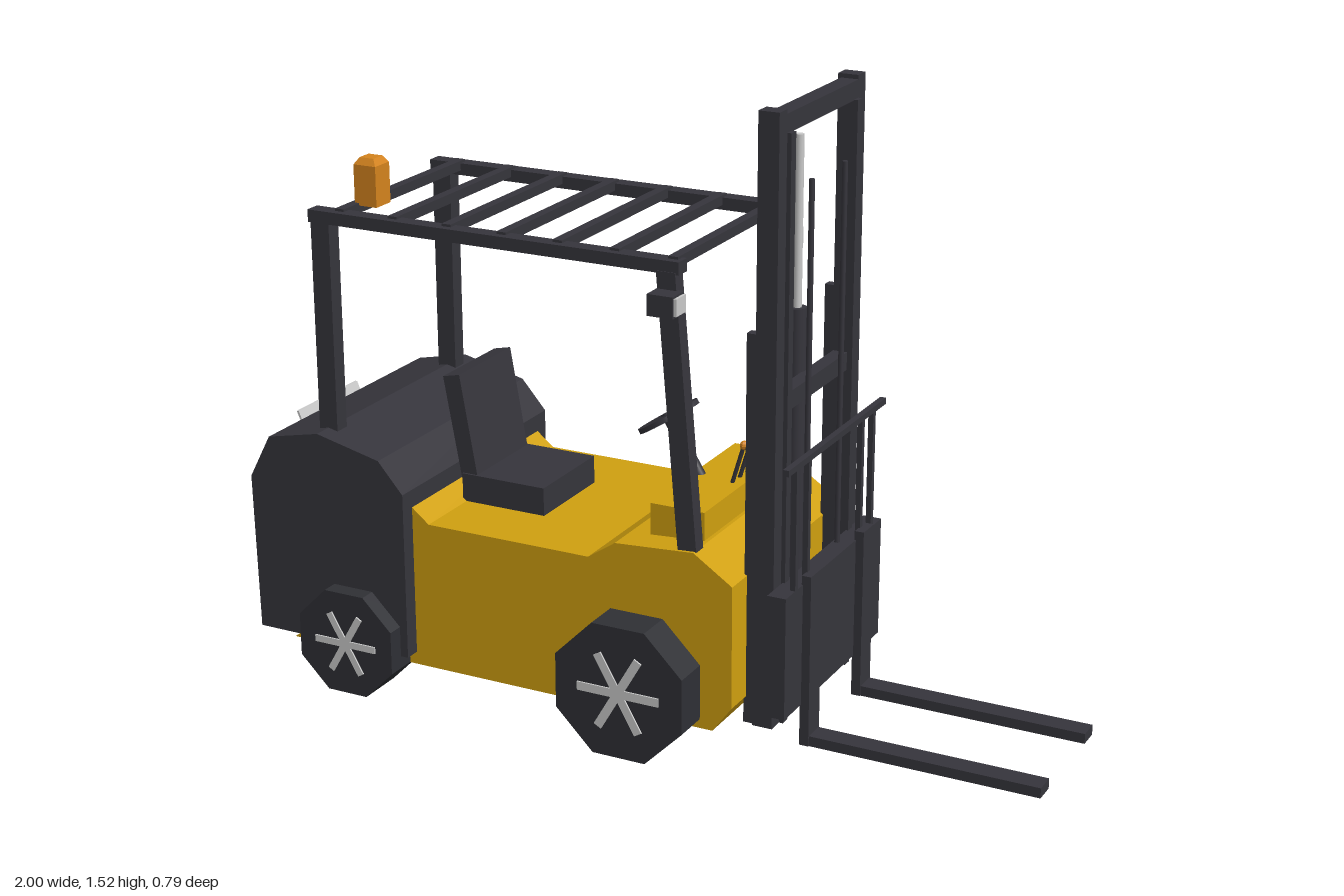
import * as THREE from 'three';

const mat = (name, color, flat = false) => {
  const m = new THREE.MeshStandardMaterial({ color, flatShading: flat });
  m.name = name;
  return m;
};

export function createModel() {
  const yellow = mat('yellow paint', 0xd0a010);
  const dark = mat('dark metal', 0x36353c);
  const rubber = mat('tyre rubber', 0x2f3035, true);
  const black = mat('axle black', 0x242427);
  const silver = mat('silver', 0xcacaca);
  const orange = mat('orange', 0xd5841e, true);
  const model = new THREE.Group();
  model.name = 'forklift';

  const add = (name, geo, material, parent = model) => {
    const m = new THREE.Mesh(geo, material);
    m.name = name;
    parent.add(m);
    return m;
  };
  // box given by its extents
  const box = (name, x0, x1, y0, y1, z0, z1, material = dark, parent = model) => {
    const m = add(name, new THREE.BoxGeometry(x1 - x0, y1 - y0, z1 - z0), material, parent);
    m.position.set((x0 + x1) / 2, (y0 + y1) / 2, (z0 + z1) / 2);
    return m;
  };
  // side profile in x,y extruded symmetrically across z
  const slab = (name, pts, half, material, parent = model) => {
    const shape = new THREE.Shape(pts.map(p => new THREE.Vector2(p[0], p[1])));
    const g = new THREE.ExtrudeGeometry(shape, { depth: half * 2, bevelEnabled: false });
    g.translate(0, 0, -half);
    return add(name, g, material, parent);
  };
  // round rod between two points
  const rod = (name, a, b, r, material = dark, parent = model, sides = 12) => {
    const p = new THREE.Vector3(...a), q = new THREE.Vector3(...b);
    const d = q.clone().sub(p);
    const m = add(name, new THREE.CylinderGeometry(r, r, d.length(), sides), material, parent);
    m.position.copy(p).add(q).multiplyScalar(0.5);
    m.quaternion.setFromUnitVectors(new THREE.Vector3(0, 1, 0), d.normalize());
    return m;
  };

  // chassis and counterweight
  slab('chassis', [[-0.9, 0.08], [0.25, 0.08], [0.298, 0.145], [0.298, 0.445], [0.2, 0.51], [0.0, 0.497],
    [-0.07, 0.45], [-0.5, 0.45], [-0.55, 0.49], [-0.85, 0.49], [-0.85, 0.12]], 0.298, yellow);
  slab('counterweight', [[-0.97, 0.112], [-0.545, 0.112], [-0.545, 0.53], [-0.61, 0.605], [-0.78, 0.645],
    [-0.92, 0.615], [-0.978, 0.505]], 0.338, dark);
  slab('rearPanel', [[-0.965, 0.235], [-0.965, 0.495], [-1, 0.48], [-0.978, 0.235]], 0.275, yellow);
  slab('rearHandle', [[-0.953, 0.53], [-0.947, 0.53], [-0.978, 0.605], [-0.984, 0.605]], 0.13, silver);

  // wheels with six-armed hubs, and the axle drums between them
  const wheels = [['front', 0.055, 0.17, 0.163, 0.27, 0.39, 0.105, 0.25],
    ['rear', -0.695, 0.135, 0.13, 0.26, 0.38, 0.085, 0.25]];
  for (const [name, x, y, apothem, z0, z1, arm, half] of wheels) {
    for (const s of [1, -1]) {
      const wheel = new THREE.Group();
      wheel.name = name + (s > 0 ? 'LeftWheel' : 'RightWheel');
      wheel.position.set(x, y, s * (z0 + z1) / 2);
      model.add(wheel);
      const g = new THREE.CylinderGeometry(apothem / Math.cos(Math.PI / 8), apothem / Math.cos(Math.PI / 8), z1 - z0, 8);
      g.rotateY(Math.PI / 8).rotateX(Math.PI / 2);
      add('tyre', g, rubber, wheel);
      for (let i = 0; i < 3; i++) {
        const spoke = add('hubSpokes', new THREE.BoxGeometry(arm * 2, arm * 0.2, 0.008), silver, wheel);
        spoke.position.z = s * (z1 - z0) / 2;
        spoke.rotation.z = i * Math.PI / 3;
      }
    }
    rod(name + 'AxleDrum', [x, y, -half], [x, y, half], apothem - 0.003, black, model, 32);
    rod(name + 'Axle', [x, y, -z0 - 0.02], [x, y, z0 + 0.02], 0.04, black);
  }

  // seat
  const seat = new THREE.Group();
  seat.name = 'seat';
  model.add(seat);
  box('seatCushion', -0.51, -0.285, 0.448, 0.52, -0.125, 0.125, dark, seat);
  slab('seatBack', [[-0.513, 0.5], [-0.468, 0.5], [-0.515, 0.768], [-0.56, 0.758]], 0.12, dark, seat);

  // dashboard, steering and levers
  box('dashboard', 0.052, 0.19, 0.48, 0.578, -0.222, 0.222, yellow);
  const steering = add('steeringWheel', new THREE.CylinderGeometry(0.08, 0.08, 0.012, 16), dark);
  steering.position.set(-0.015, 0.707, 0);
  steering.rotation.z = 0.56;
  rod('steeringColumn', [-0.02, 0.715, 0], [0.075, 0.56, 0], 0.015);
  for (const z of [-0.06, -0.02, 0.02]) {
    rod('controlLever', [0.16, 0.57, z], [0.19, 0.67, z], 0.005, dark, model, 6);
    add('leverKnob', new THREE.SphereGeometry(0.011, 8, 6), orange).position.set(0.192, 0.675, z);
  }

  // overhead guard with work lights
  const guard = new THREE.Group();
  guard.name = 'overheadGuard';
  model.add(guard);
  for (const s of [1, -1]) {
    const z = s * 0.268;
    box('guardRail', -0.812, 0.158, 1.15, 1.18, z - 0.02, z + 0.02, dark, guard);
    box('rearPost', -0.805, -0.755, 0.6, 1.155, z - 0.02, z + 0.02, dark, guard);
    slab('frontPost', [[0.158, 0.49], [0.205, 0.49], [0.15, 1.155], [0.103, 1.155]], 0.018, dark, guard).position.z = s * 0.272;
    box('lightHousing', 0.105, 0.168, 1.065, 1.115, s * 0.309 - 0.028, s * 0.309 + 0.028, dark, guard);
    box('lightLens', 0.168, 0.175, 1.07, 1.11, s * 0.309 - 0.023, s * 0.309 + 0.023, silver, guard);
  }
  for (let i = 0; i < 7; i++) {
    const x = -0.735 + i * 0.145;
    box('guardSlat', x - 0.012, x + 0.012, 1.162, 1.186, -0.27, 0.27, dark, guard);
  }

  // beacon
  box('beacon', -0.735, -0.675, 1.18, 1.278, 0.145, 0.205, orange);
  const cap = new THREE.CylinderGeometry(0.027, 0.042, 0.016, 4).rotateY(Math.PI / 4);
  add('beaconCap', cap, orange).position.set(-0.705, 1.286, 0.175);

  // mast
  const mast = new THREE.Group();
  mast.name = 'mast';
  model.add(mast);
  for (const s of [1, -1]) {
    box('outerRail', 0.318, 0.368, 0.08, 1.522, s * 0.21 - 0.02, s * 0.21 + 0.02, dark, mast);
    box('railFlange', 0.292, 0.318, 0.08, 1.02, s * 0.21 - 0.012, s * 0.21 + 0.012, dark, mast);
    box('innerRail', 0.33, 0.378, 0.08, 1.47, s * 0.178 - 0.012, s * 0.178 + 0.012, dark, mast);
    rod('liftChain', [0.383, 0.3, s * 0.09], [0.383, 1.348, s * 0.09], 0.007, dark, mast, 8);
  }
  box('topCrossbar', 0.325, 0.368, 1.468, 1.512, -0.2, 0.2, dark, mast);
  box('middleCrossbar', 0.33, 0.365, 0.83, 0.873, -0.18, 0.18, dark, mast);
  box('bottomCrossbar', 0.33, 0.365, 0.13, 0.18, -0.19, 0.19, dark, mast);
  rod('liftCylinder', [0.312, 0.08, 0], [0.312, 1.022, 0], 0.022, dark, mast, 16);
  rod('liftPiston', [0.312, 1.02, 0], [0.312, 1.422, 0], 0.01, silver, mast);

  // carriage, load backrest and forks
  const carriage = new THREE.Group();
  carriage.name = 'carriage';
  model.add(carriage);
  box('carriagePlate', 0.372, 0.418, 0.132, 0.43, -0.272, 0.272, dark, carriage);
  box('backrestBar', 0.407, 0.422, 0.722, 0.737, -0.274, 0.274, dark, carriage);
  for (const s of [1, -1]) {
    for (const z of [0.215, 0.15]) {
      box('backrestPost', 0.405, 0.418, 0.42, 0.73, s * z - 0.007, s * z + 0.007, dark, carriage);
    }
    box('forkShank', 0.415, 0.438, 0.03, 0.452, s * 0.15 - 0.03, s * 0.15 + 0.03, dark, carriage);
    box('forkBlade', 0.42, 1, 0.03, 0.055, s * 0.15 - 0.027, s * 0.15 + 0.027, dark, carriage);
  }
  return model;
}
